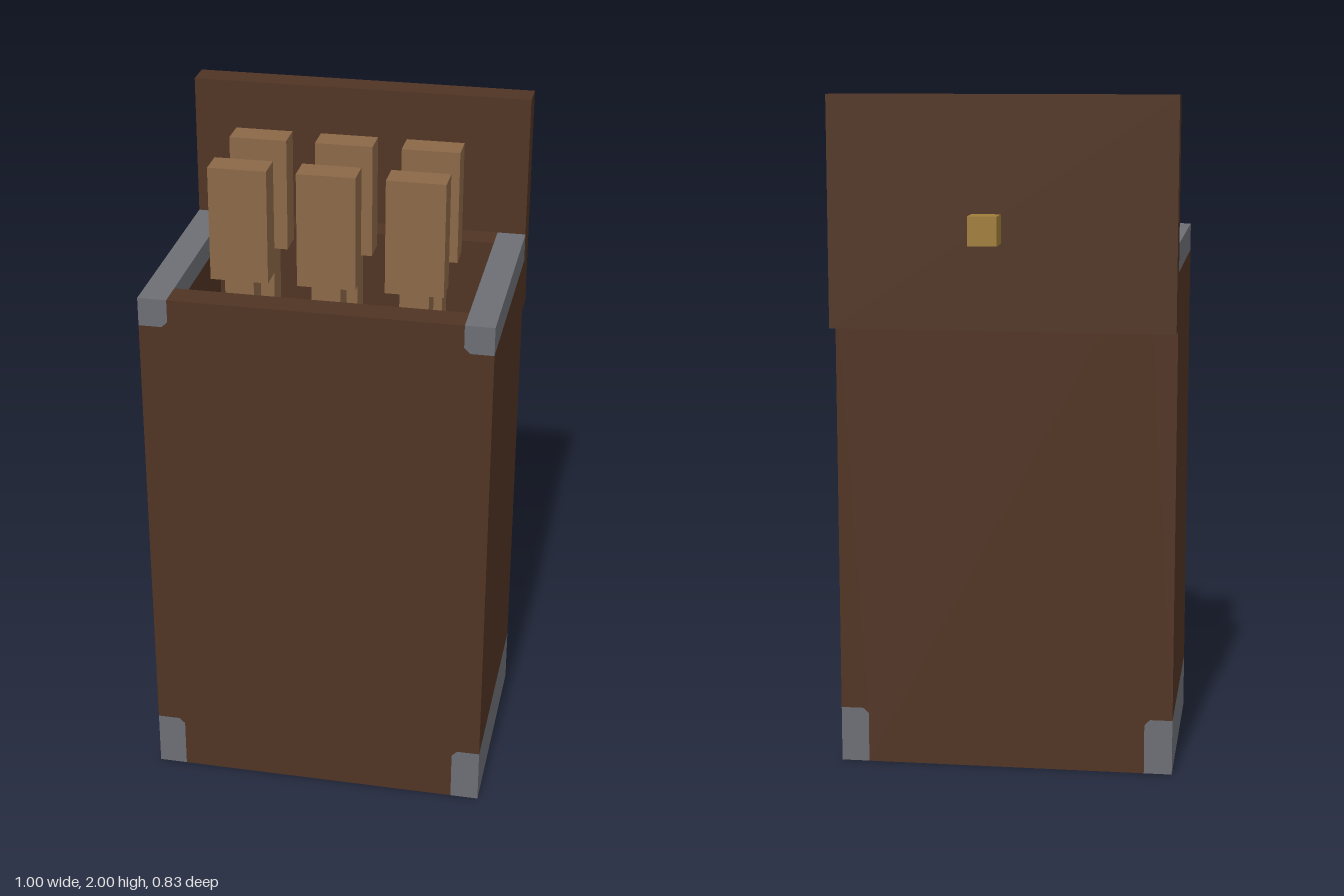
import * as THREE from 'three';

const U = 1 / 12; // the model is laid out on a grid of twelfths

export function createModel() {
  const model = new THREE.Group();
  model.name = 'quiver';

  const mat = (name, color) => {
    const m = new THREE.MeshStandardMaterial({ color });
    m.name = name;
    return m;
  };
  const leather = mat('dark leather', 0x503423);
  const metal = mat('grey metal', 0x6c6e74);
  const wood = mat('light wood', 0x8b6848);
  const brass = mat('brass', 0xa07e3a);

  // Box given by its minimum and maximum corners, in grid units
  const box = (name, material, a, b, parent = model) => {
    const size = b.map((v, i) => (v - a[i]) * U);
    const mesh = new THREE.Mesh(new THREE.BoxGeometry(...size), material);
    mesh.position.set(...a.map((v, i) => ((v + b[i]) / 2) * U));
    mesh.name = name;
    parent.add(mesh);
    return mesh;
  };

  // Side wall slice: an x-y outline run along the full depth of the case
  const slice = (name, material, points) => {
    const shape = new THREE.Shape(points.map(([x, y]) => new THREE.Vector2(x * U, y * U)));
    const geo = new THREE.ExtrudeGeometry(shape, { depth: 8 * U, bevelEnabled: false });
    geo.translate(0, 0, -3 * U);
    const mesh = new THREE.Mesh(geo, material);
    mesh.name = name;
    model.add(mesh);
  };

  // Front and back panels and floor of the hollow case
  box('frontPanel', leather, [-5, 0, 4], [5, 19, 5]);
  box('backPanel', leather, [-5, 0, -3], [5, 19, -2]);
  box('floor', leather, [-5, 0, -2], [5, 1, 4]);

  // Side walls with metal trims whose inner corners are clipped
  const c = 0.2;
  for (const [side, s] of [['left', 1], ['right', -1]]) {
    const mirror = (pts) => pts.map(([x, y]) => [x * s, y]);
    slice(side + 'BottomTrim', metal,
      mirror([[5, 0], [6, 0], [6, 2], [5 + c, 2], [5, 2 - c]]));
    slice(side + 'Wall', leather,
      mirror([[5, 2 - c], [5 + c, 2], [6, 2], [6, 18], [5 + c, 18], [5, 18 + c]]));
    slice(side + 'TopTrim', metal,
      mirror([[5, 18 + c], [5 + c, 18], [6, 18], [6, 19], [5, 19]]));
  }

  // Raised lid behind the opening, with its clasp
  box('lid', leather, [-6, 16, -4], [6, 24, -3]);
  box('clasp', brass, [0, 19, -5], [1, 20, -4]);

  // Two rows of three arrows: broad tail on a narrow shaft
  for (const z of [-1, 2]) {
    for (const x of [-3, 0, 3]) {
      const arrow = new THREE.Group();
      arrow.name = 'arrow';
      box('arrowTail', wood, [x - 1, 19, z], [x + 1, 23, z + 1], arrow);
      box('arrowShaft', wood, [x - 0.5, 1, z], [x + 0.5, 19, z + 1], arrow);
      model.add(arrow);
    }
  }

  return model;
}
